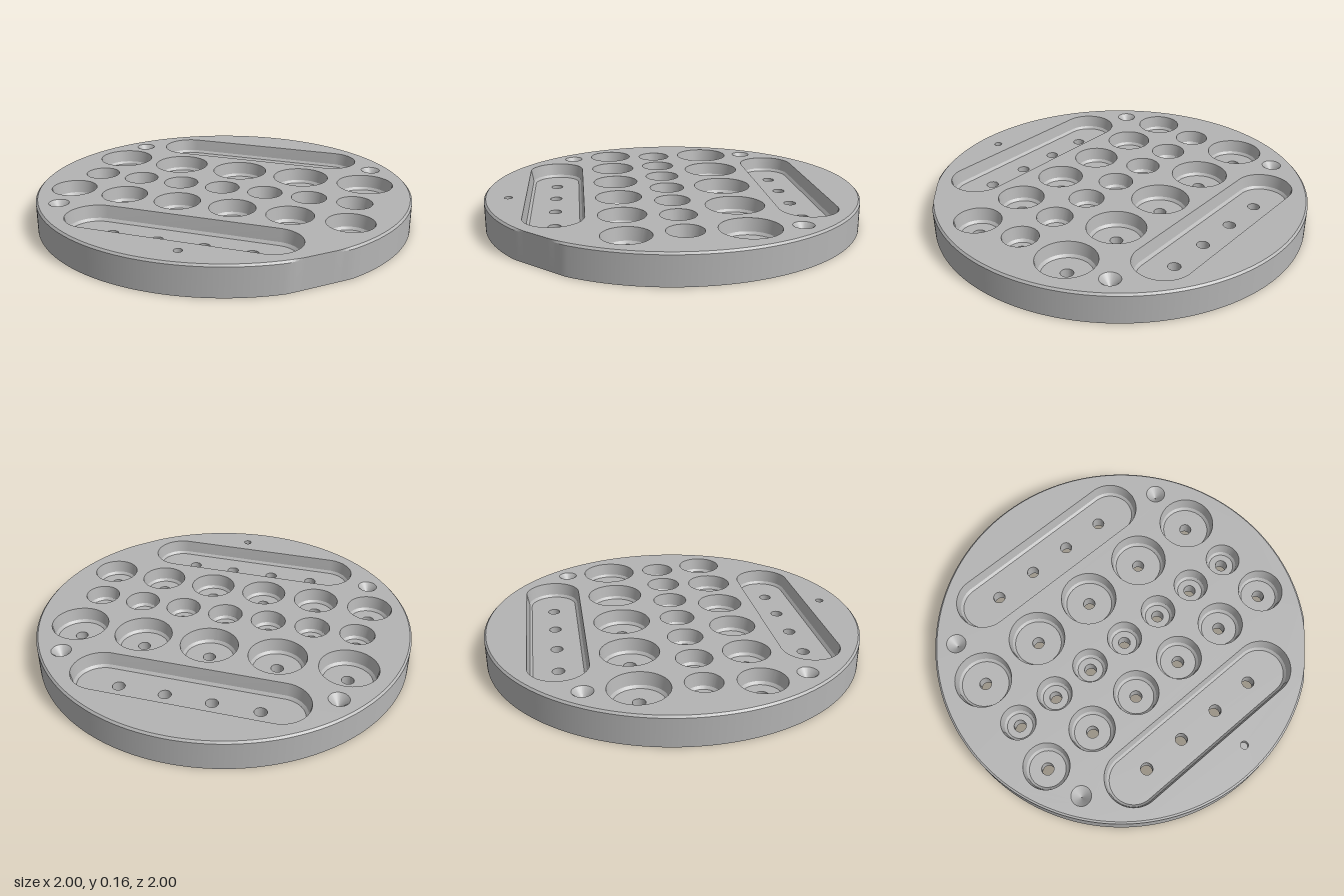
import * as THREE from 'three';
import { toCreasedNormals } from 'three/addons/utils/BufferGeometryUtils.js';

const TOP = 0.158, FLOOR = 0.08, DRAIN_R = 0.032;
const FLAT_DIST = 0.986; // distance of the alignment flat from the centre

// Outline points (x right, y = -z). halfLength > 0 gives a rounded slot.
function outline(cx, z, r, halfLength = 0, n = 64) {
  return Array.from({ length: n }, (_, i) => {
    const a = ((i + 0.5) / n) * Math.PI * 2;
    return new THREE.Vector2(
      cx + Math.cos(a) * r + Math.sign(Math.cos(a)) * halfLength,
      -z + Math.sin(a) * r);
  });
}

// Disc outline, cut by one flat at the front left
function discOutline(r, n = 360) {
  return Array.from({ length: n }, (_, i) => {
    const a = (i / n) * Math.PI * 2;
    const c = Math.cos(a + Math.PI / 4);
    const d = c > 0.5 ? Math.min(r, FLAT_DIST / c) : r;
    return new THREE.Vector2(Math.cos(a) * d, Math.sin(a) * d);
  });
}

// Wall through rings [points, y]: rising rings face outward, falling rings inward
function loft(rings) {
  const n = rings[0][0].length, pos = [], idx = [];
  for (const [pts, y] of rings) for (const p of pts) pos.push(p.x, y, -p.y);
  for (let k = 0; k < rings.length - 1; k++) {
    for (let i = 0; i < n; i++) {
      const a = k * n + i, b = k * n + (i + 1) % n;
      idx.push(a, b, b + n, a, b + n, a + n);
    }
  }
  const g = new THREE.BufferGeometry();
  g.setAttribute('position', new THREE.Float32BufferAttribute(pos, 3));
  g.setIndex(idx);
  return toCreasedNormals(g, 0.15);
}

// Horizontal face with holes, facing up or down
function plate(points, holes, y, down = false) {
  const flip = (pts) => down ? pts.map((p) => new THREE.Vector2(p.x, -p.y)) : pts;
  const shape = new THREE.Shape(flip(points));
  shape.holes = holes.map((h) => new THREE.Path(flip(h)));
  return new THREE.ShapeGeometry(shape)
    .rotateX(down ? Math.PI / 2 : -Math.PI / 2).translate(0, y, 0);
}

export function createModel() {
  const model = new THREE.Group();
  model.name = 'roundTray';
  const grey = new THREE.MeshStandardMaterial({ color: 0xb4b4b4 });
  grey.name = 'grey';
  const add = (name, geometry, parent = model) => {
    const mesh = new THREE.Mesh(geometry, grey);
    mesh.name = name;
    parent.add(mesh);
  };
  const topHoles = [], bottomHoles = [];

  // Pocket with tapered wall, sloped floor edge and drain holes
  function pocket(name, x, z, r, halfLength = 0, drains = [x]) {
    const group = new THREE.Group();
    group.name = name;
    model.add(group);
    const rim = outline(x, z, r, halfLength);
    const mid = outline(x, z, r - 0.012, halfLength);
    const base = outline(x, z, r - 0.025, halfLength);
    const drainRings = drains.map((dx) => outline(dx, z, DRAIN_R, 0, 48));
    topHoles.push(rim);
    bottomHoles.push(...drainRings);
    add('pocketWall', loft([[rim, TOP], [mid, FLOOR + 0.013], [base, FLOOR]]), group);
    add('pocketFloor', plate(base, drainRings, FLOOR), group);
    for (const d of drainRings) add('drainHole', loft([[d, FLOOR], [d, 0]]), group);
  }

  // Long slots at back and front
  for (const z of [-0.63, 0.63]) pocket('longSlot', 0, z, 0.15, 0.45, [-0.36, -0.12, 0.12, 0.36]);

  // Rows of round pockets: count, spacing, z, radius
  const rows = [
    ['largePocket', 5, 0.36, -0.275, 0.15],
    ['smallPocket', 7, 0.24, 0.028, 0.092],
    ['mediumPocket', 6, 0.3, 0.3, 0.12],
  ];
  for (const [name, count, step, z, r] of rows) {
    for (let i = 0; i < count; i++) pocket(name, (i - (count - 1) / 2) * step, z, r);
  }

  // Conical dimples near the edge
  for (const [x, z] of [[-0.71, -0.53], [0.71, -0.53], [-0.71, 0.53]]) {
    const rim = outline(x, z, 0.052);
    topHoles.push(rim);
    add('conicalDimple', loft([[rim, TOP], [outline(x, z, 0.0005), TOP - 0.052]]));
  }

  // Small blind pit at the front
  const pit = outline(0.09, 0.87, 0.021, 0, 48);
  topHoles.push(pit);
  add('pitWall', loft([[pit, TOP], [pit, TOP - 0.03]]));
  add('pitFloor', plate(pit, [], TOP - 0.03));

  // Disc body with a fine top chamfer
  const outer = discOutline(1), inner = discOutline(0.99);
  add('rimWall', loft([[outer, 0], [outer, TOP - 0.01], [inner, TOP]]));
  add('topFace', plate(inner, topHoles, TOP));
  add('bottomFace', plate(outer, bottomHoles, 0, true));
  return model;
}
